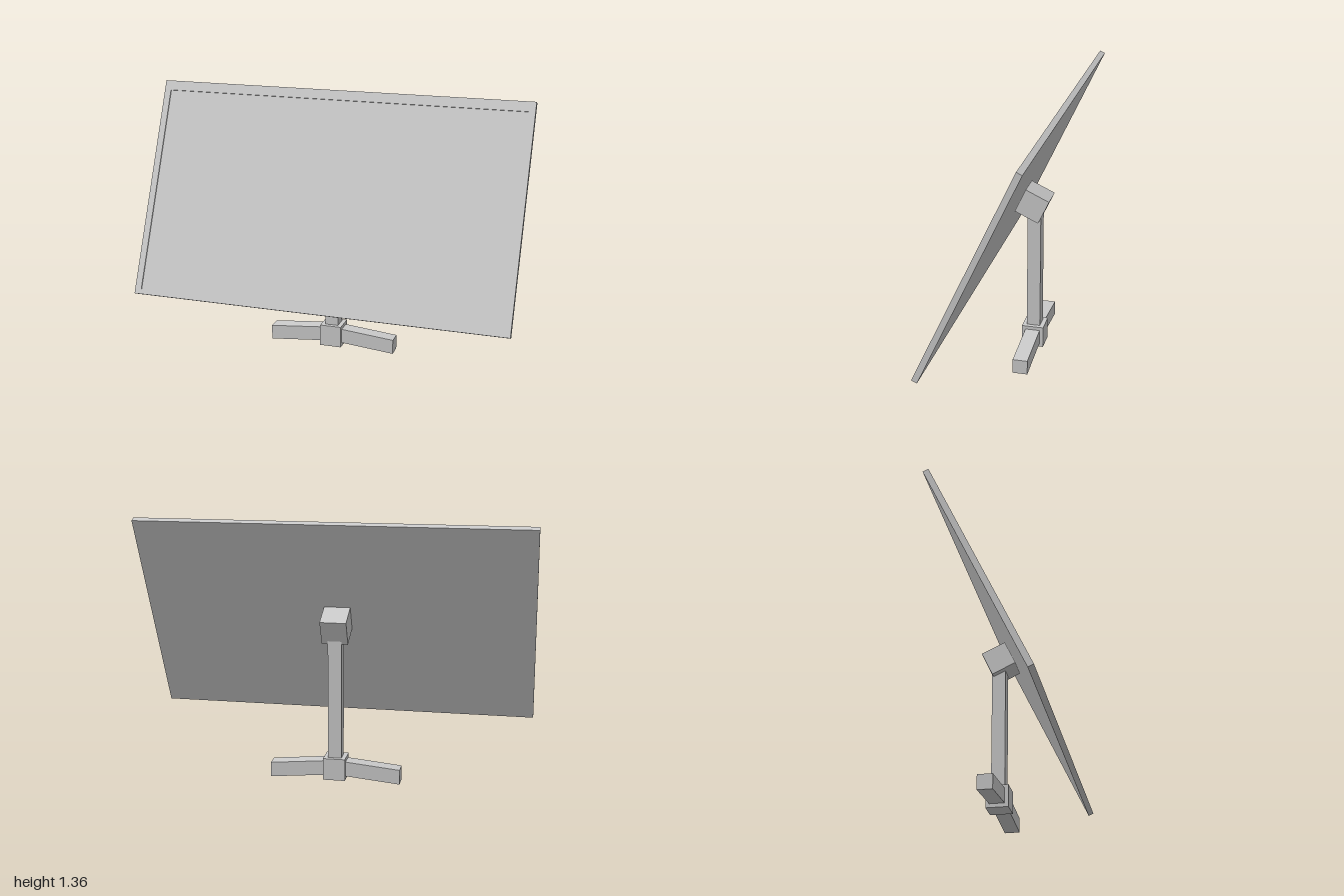
import * as THREE from 'three';

const material = new THREE.MeshStandardMaterial({ color: 0xcccccc, flatShading: true });

function addPart(parent, name, geometry, x = 0, y = 0, z = 0) {
  const mesh = new THREE.Mesh(geometry, material);
  mesh.name = name;
  mesh.position.set(x, y, z);
  parent.add(mesh);
  return mesh;
}

// Traces a rectangle on a Shape or Path
function rect(path, x0, y0, x1, y1) {
  path.moveTo(x0, y0);
  path.lineTo(x1, y0);
  path.lineTo(x1, y1);
  path.lineTo(x0, y1);
  path.closePath();
  return path;
}

export function createModel() {
  const model = new THREE.Group();
  model.name = 'monitor';

  // Tilted display: backing slab, raised bezel and pivot block
  const W = 2, H = 1.167, T = 0.03, recess = 0.006;
  const display = new THREE.Group();
  display.name = 'display';
  display.position.set(0, 0.823, 0);
  display.rotation.x = THREE.MathUtils.degToRad(-25);
  model.add(display);

  addPart(display, 'screenPanel', new THREE.BoxGeometry(W, H, T - recess), 0, 0, -recess / 2);

  const frame = rect(new THREE.Shape(), -W / 2, -H / 2, W / 2, H / 2);
  frame.holes.push(rect(new THREE.Path(), -W / 2 + 0.035, -H / 2 + 0.025, W / 2 - 0.035, H / 2 - 0.052));
  addPart(display, 'bezel',
    new THREE.ExtrudeGeometry(frame, { depth: recess, bevelEnabled: false }), 0, 0, T / 2 - recess);

  addPart(display, 'pivotBlock', new THREE.BoxGeometry(0.135, 0.134, 0.134), 0, 0.028, -0.081);

  // Stand: post, hub and two sloping feet
  const standZ = -0.09;
  addPart(model, 'post', new THREE.BoxGeometry(0.07, 0.7, 0.07), 0, 0.43, standZ);
  addPart(model, 'hub', new THREE.BoxGeometry(0.115, 0.115, 0.115), 0, 0.065, standZ);

  for (const side of [-1, 1]) {
    const length = 0.3;
    const foot = new THREE.BoxGeometry(length, 0.077, 0.077);
    // Shear the foot so it drops towards its outer end
    const p = foot.attributes.position;
    for (let i = 0; i < p.count; i++) p.setY(i, p.getY(i) - side * p.getX(i) * 0.095);
    foot.computeVertexNormals();
    addPart(model, side > 0 ? 'leftFoot' : 'rightFoot', foot, side * 0.19, 0.053, standZ);
  }

  return model;
}
